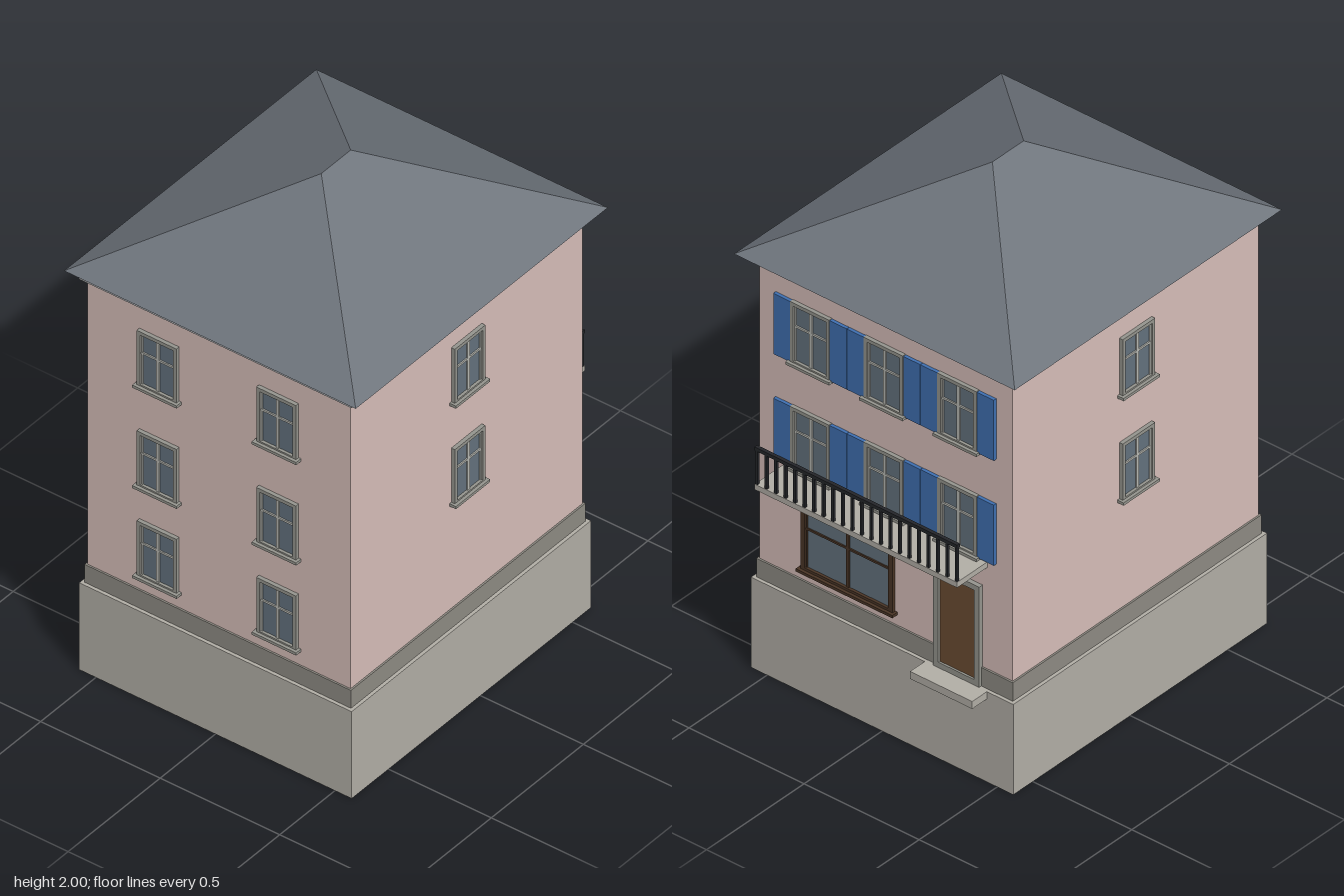
import * as THREE from 'three';

const material = (color) => new THREE.MeshStandardMaterial({ color, flatShading: true });
const M = {
  wall: material(0xd8bfba), plinth: material(0xb3afa7), band: material(0x8f8c84),
  cornice: material(0xb0b2b4), roof: material(0x6c727a), surround: material(0x96968f),
  bar: material(0xb9bab4), glass: material(0x64727e), shutter: material(0x3f70b2),
  darkWood: material(0x4a3526), door: material(0x6b4c32), iron: material(0x24262a),
};

// Box given by its min and max along each axis
function box(parent, name, mat, [x0, x1], [y0, y1], [z0, z1]) {
  const mesh = new THREE.Mesh(new THREE.BoxGeometry(x1 - x0, y1 - y0, z1 - z0), mat);
  mesh.position.set((x0 + x1) / 2, (y0 + y1) / 2, (z0 + z1) / 2);
  mesh.name = name;
  parent.add(mesh);
  return mesh;
}

// Rectangular frame, open in the middle, standing on the wall plane z = 0
function frame(parent, name, mat, w, h, t, depth) {
  const s = new THREE.Shape([[-w / 2, 0], [w / 2, 0], [w / 2, h], [-w / 2, h]].map((p) => new THREE.Vector2(...p)));
  const i = w / 2 - t;
  s.holes.push(new THREE.Path([[-i, t], [-i, h - t], [i, h - t], [i, t]].map((p) => new THREE.Vector2(...p))));
  const mesh = new THREE.Mesh(new THREE.ExtrudeGeometry(s, { depth, bevelEnabled: false }), mat);
  mesh.name = name;
  parent.add(mesh);
}

// Window facing +z, origin at the bottom centre on the wall
function makeWindow(w, h, frameMat = M.surround, barMat = M.bar, t = 0.014) {
  const g = new THREE.Group();
  g.name = 'window';
  const i = w / 2 - t;
  frame(g, 'windowSurround', frameMat, w, h, t, 0.015);
  box(g, 'windowGlass', M.glass, [-i, i], [t, h - t], [0, 0.004]);
  box(g, 'windowMullion', barMat, [-0.006, 0.006], [t, h - t], [0.003, 0.009]);
  box(g, 'windowTransom', barMat, [-i, i], [h * 0.61 - 0.004, h * 0.61 + 0.004], [0.003, 0.009]);
  for (const s of [-1, 1]) {
    const x = s * (i - 0.003);
    box(g, 'casementStile', barMat, [x - 0.003, x + 0.003], [t, h - t], [0.003, 0.008]);
  }
  box(g, 'windowSill', frameMat, [-w / 2 - 0.01, w / 2 + 0.01], [-0.003, 0.008], [0, 0.027]);
  return g;
}

function place(parent, part, x, y, z, turn) {
  part.position.set(x, y, z);
  part.rotation.y = turn;
  parent.add(part);
}

// Hipped roof: four eaves corners rising to a short ridge
function makeRoof() {
  const X = 0.61, F = 0.73, B = -0.64, y = 1.675;
  const pts = [-X, y, F, X, y, F, X, y, B, -X, y, B, 0, 2, 0.125, 0, 2, -0.035];
  let geo = new THREE.BufferGeometry();
  geo.setAttribute('position', new THREE.Float32BufferAttribute(pts, 3));
  geo.setIndex([0, 1, 4, 1, 2, 5, 1, 5, 4, 2, 3, 5, 3, 0, 4, 3, 4, 5, 0, 3, 2, 0, 2, 1]);
  geo = geo.toNonIndexed();
  geo.computeVertexNormals();
  const mesh = new THREE.Mesh(geo, M.roof);
  mesh.name = 'roof';
  return mesh;
}

export function createModel() {
  const house = new THREE.Group();
  house.name = 'house';
  const BACK = -0.58, FRONT = 0.68, SIDE = 0.55;

  // Main body
  box(house, 'plinth', M.plinth, [-0.57, 0.57], [0, 0.365], [-0.6, 0.7]);
  box(house, 'baseBand', M.band, [-0.557, 0.557], [0.365, 0.44], [-0.587, 0.687]);
  box(house, 'walls', M.wall, [-SIDE, SIDE], [0.44, 1.64], [BACK, FRONT]);
  box(house, 'cornice', M.cornice, [-0.57, 0.57], [1.64, 1.675], [-0.6, 0.7]);
  house.add(makeRoof());

  // Front windows on three floors, side windows on the upper two
  for (const y of [0.5, 0.878, 1.3]) {
    for (const x of [-0.25, 0.25]) place(house, makeWindow(0.166, 0.235), x, y, FRONT, 0);
    if (y < 0.6) continue;
    for (const s of [-1, 1]) place(house, makeWindow(0.166, 0.235), s * SIDE, y, 0.05, s * Math.PI / 2);
  }

  // Back windows with pairs of open shutters
  for (const y of [0.878, 1.302]) {
    for (const x of [-0.32, 0, 0.32]) {
      const g = makeWindow(0.17, 0.25);
      for (const s of [-1, 1]) {
        const c = s * 0.1225;
        box(g, 'shutter', M.shutter, [c - 0.0365, c + 0.0365], [0.003, 0.248], [0, 0.013]);
      }
      place(house, g, x, y, BACK, Math.PI);
    }
  }

  // Large ground-floor window
  const wide = makeWindow(0.4, 0.285, M.darkWood, M.darkWood, 0.018);
  wide.name = 'wideWindow';
  place(house, wide, 0.16, 0.485, BACK, Math.PI);

  // Door with surround and step
  const door = new THREE.Group();
  door.name = 'door';
  frame(door, 'doorSurround', M.surround, 0.2, 0.405, 0.022, 0.018);
  box(door, 'doorLeaf', M.door, [-0.078, 0.078], [0.02, 0.383], [0, 0.01]);
  place(house, door, -0.32, 0.365, BACK, Math.PI);
  box(house, 'doorStep', M.plinth, [-0.455, -0.185], [0.335, 0.365], [-0.675, -0.59]);

  // Balcony slab and railing
  box(house, 'balconySlab', M.plinth, [-0.44, 0.44], [0.85, 0.872], [-0.735, BACK]);
  const railing = new THREE.Group();
  railing.name = 'railing';
  box(railing, 'handrail', M.iron, [-0.44, 0.44], [1.008, 1.022], [-0.735, -0.721]);
  const count = 22;
  for (let i = 0; i < count; i++) {
    const x = -0.434 + (0.868 * i) / (count - 1);
    box(railing, 'baluster', M.iron, [x - 0.005, x + 0.005], [0.872, 1.008], [-0.733, -0.723]);
  }
  house.add(railing);
  return house;
}
